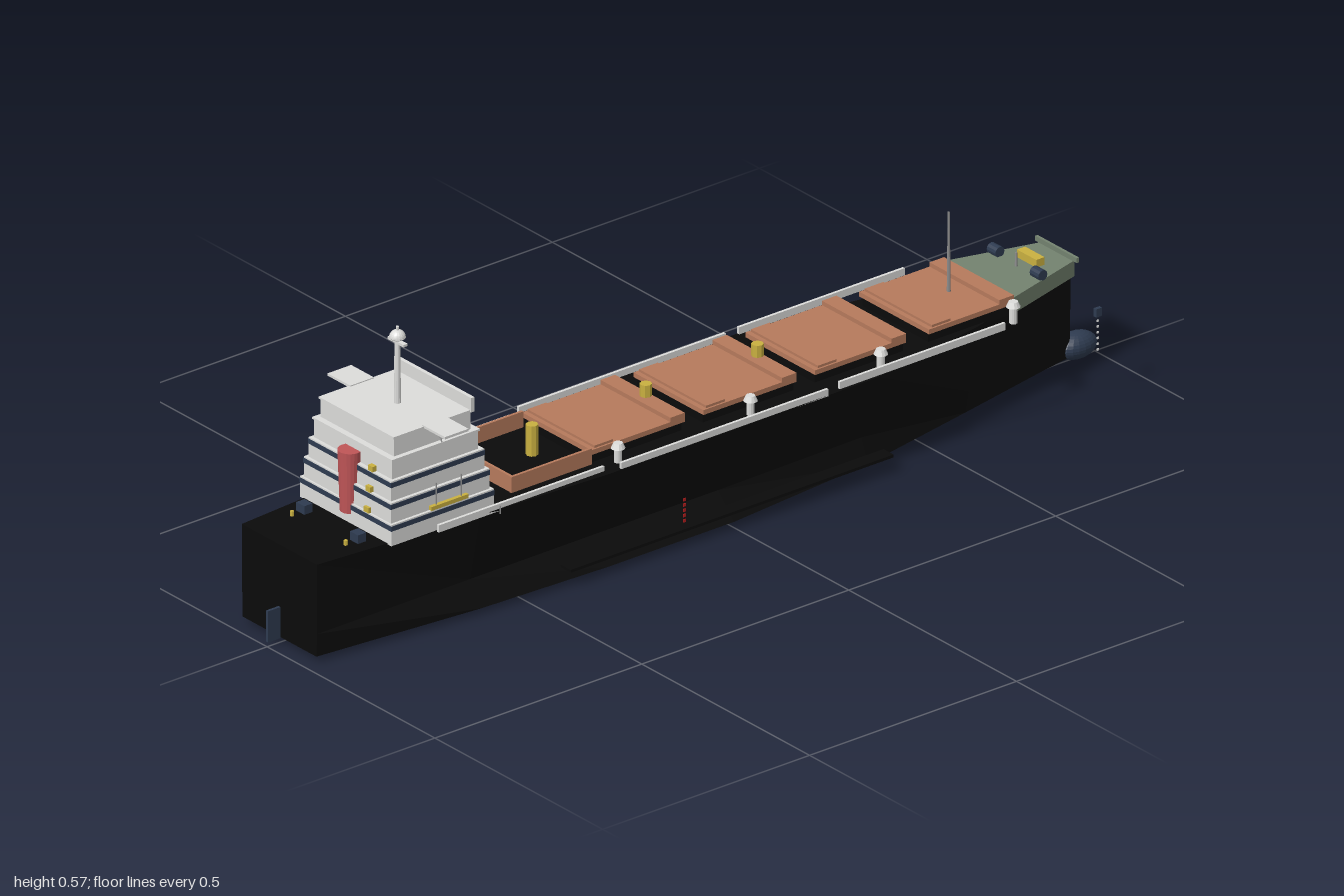
import * as THREE from 'three';

const mat = (name, color) => {
  const m = new THREE.MeshStandardMaterial({ color, flatShading: true });
  m.name = name;
  return m;
};

// Lofted hull: each station is [z, half deck, half waist, half bottom]
function hullGeometry() {
  const stations = [
    [0.97, 0.112, 0.112, 0.110], [0.60, 0.141, 0.111, 0.145], [0.30, 0.157, 0.110, 0.158],
    [0.0, 0.158, 0.110, 0.158], [-0.35, 0.155, 0.105, 0.125], [-0.63, 0.106, 0.080, 0.070],
    [-0.85, 0.045, 0.035, 0.025], [-0.93, 0.015, 0.012, 0.010],
  ];
  const pos = [], idx = [], n = 6;
  for (const [z, d, w, b] of stations) {
    pos.push(d, 0.205, z, w, 0.06, z, b, 0.012, z, -b, 0.012, z, -w, 0.112, z, -d, 0.205, z);
  }
  for (let i = 0; i < stations.length - 1; i++) {
    for (let j = 0; j < n; j++) {
      const a = i * n + j, b = i * n + (j + 1) % n;
      idx.push(a, b, b + n, a, b + n, a + n);
    }
  }
  const last = (stations.length - 1) * n;
  for (let j = 1; j < n - 1; j++) {
    idx.push(0, j + 1, j);
    idx.push(last, last + j, last + j + 1);
  }
  const g = new THREE.BufferGeometry();
  g.setAttribute('position', new THREE.Float32BufferAttribute(pos, 3));
  g.setIndex(idx);
  const flat = g.toNonIndexed();
  flat.computeVertexNormals();
  return flat;
}

export function createModel() {
  const black = mat('hullBlack', 0x0b0b0b);
  const brown = mat('hatchBrown', 0xb67a5c);
  const white = mat('paintWhite', 0xdcdcda);
  const navy = mat('navyBlue', 0x2e3b50);
  const red = mat('funnelRed', 0xbf5557);
  const yellow = mat('gearYellow', 0xc9b040);
  const green = mat('deckGreen', 0x73826f);
  const markRed = mat('markRed', 0xb01c1c);
  const grey = mat('mastGrey', 0x8c8c8c);

  const ship = new THREE.Group();
  ship.name = 'cargoShip';
  const add = (name, geo, m, x = 0, y = 0, z = 0, parent = ship) => {
    const mesh = new THREE.Mesh(geo, m);
    mesh.name = name;
    mesh.position.set(x, y, z);
    parent.add(mesh);
    return mesh;
  };
  // Box given by centre x, half width, and y and z ranges
  const box = (name, m, x, hw, y0, y1, z0, z1) =>
    add(name, new THREE.BoxGeometry(hw * 2, y1 - y0, Math.abs(z1 - z0)), m, x, (y0 + y1) / 2, (z0 + z1) / 2);
  const post = (name, m, x, z, y0, y1, rTop, rBottom = rTop, sides = 12) =>
    add(name, new THREE.CylinderGeometry(rTop, rBottom, y1 - y0, sides), m, x, (y0 + y1) / 2, z);

  // Hull, bulbous bow and rudder
  add('hull', hullGeometry(), black);
  add('bulbousBow', new THREE.SphereGeometry(1, 20, 14), navy, 0, 0.027, -0.955).scale.set(0.029, 0.027, 0.045);
  box('rudder', navy, 0, 0.003, 0.01, 0.075, 0.96, 1.0);

  // Parts along both sides
  for (const s of [-1, 1]) {
    box('bilgeKeel', black, s * 0.15, 0.015, 0.032, 0.038, -0.38, 0.4);
    box('bulwark', white, s * 0.139, 0.003, 0.2, 0.215, 0.3, 0.7);
    box('bulwark', white, s * 0.153, 0.003, 0.203, 0.218, -0.23, 0.27);
    box('bulwark', white, s * 0.15, 0.003, 0.207, 0.222, -0.66, -0.26);
    box('anchor', navy, s * 0.157, 0.004, 0.17, 0.187, -0.887, -0.873);
    for (let i = 0; i < 6; i++) {
      const y = 0.098 + i * 0.012;
      box('bowDraftMark', white, s * 0.157, 0.001, y, y + 0.004, -0.882, -0.878);
    }
    for (let i = 0; i < 5; i++) {
      const y = 0.048 + i * 0.011;
      box('midDraftMark', markRed, s * 0.157, 0.001, y, y + 0.006, 0.116, 0.122);
    }
  }

  // Cargo hatches: dark coaming, brown lid and two raised folded panels
  for (const [z0, z1] of [[-0.72, -0.515], [-0.46, -0.24], [-0.195, 0.03], [0.075, 0.3]]) {
    box('hatchCoaming', black, 0, 0.098, 0.2, 0.224, z0 + 0.003, z1 - 0.003);
    box('hatchLid', brown, 0, 0.104, 0.224, 0.234, z0, z1);
    box('foldedPanel', brown, 0, 0.104, 0.234, 0.243, z0, z0 + 0.035);
    box('foldedPanel', brown, 0, 0.1, 0.234, 0.239, z1 - 0.055, z1 - 0.01);
  }
  // Open hold framed by its coaming
  for (const s of [-1, 1]) box('holdSide', brown, s * 0.102, 0.003, 0.204, 0.238, 0.3, 0.495);
  box('holdEnd', brown, 0, 0.105, 0.204, 0.238, 0.488, 0.494);

  // Deck gear posts
  for (const z of [0.36, 0.085, -0.185]) post('gearPost', yellow, 0, z, 0.205, 0.268, 0.012, 0.012, 8);
  // Mushroom vents
  for (const z of [-0.7, -0.38, -0.065, 0.255]) {
    post('ventStem', white, 0.127, z, 0.2, 0.236, 0.008);
    post('ventCap', white, 0.127, z, 0.234, 0.245, 0.009, 0.014);
  }

  // Forecastle deck, tapering to the bow
  const plan = new THREE.Shape([[-0.102, 0.72], [0.102, 0.72], [0.05, 0.91], [-0.05, 0.91]]
    .map(([x, y]) => new THREE.Vector2(x, y)));
  const deck = new THREE.ExtrudeGeometry(plan, { depth: 0.033, bevelEnabled: false });
  deck.rotateX(-Math.PI / 2);
  add('forecastle', deck, green, 0, 0.203, 0);
  box('bowBreakwater', green, 0, 0.062, 0.236, 0.246, -0.912, -0.906);
  box('windlass', yellow, 0, 0.029, 0.236, 0.252, -0.855, -0.835);
  for (const s of [-1, 1]) {
    add('mooringDrum', new THREE.CylinderGeometry(0.011, 0.011, 0.026, 12), navy, s * 0.064, 0.245, -0.812)
      .rotation.z = Math.PI / 2;
  }
  post('foremast', grey, 0, -0.647, 0.22, 0.4, 0.002, 0.004, 8);
  post('bowLight', grey, 0.0, -0.81, 0.236, 0.265, 0.002, 0.003, 8);

  // Superstructure: stacked tiers with a window band at each lower tier's top
  const tiers = [
    [0.136, 0.203, 0.247, 0.81, 0.562], [0.13, 0.247, 0.289, 0.806, 0.568],
    [0.123, 0.289, 0.33, 0.8, 0.575], [0.116, 0.33, 0.372, 0.792, 0.585],
    [0.109, 0.372, 0.414, 0.782, 0.597],
  ];
  tiers.forEach(([hw, y0, y1, zAft, zFore], i) => {
    box('houseTier', white, 0, hw, y0, y1, zFore, zAft);
    if (i < 3) {
      box('windowBand', navy, 0, hw + 0.001, y1 - 0.013, y1 - 0.003, zFore - 0.001, zAft + 0.001);
      box('aftLocker', yellow, 0.063, 0.007, y1, y1 + 0.011, zAft - 0.014, zAft + 0.002);
    } else {
      box('roofEdge', white, 0, hw + 0.003, y1 - 0.004, y1, zFore - 0.003, zAft + 0.003);
    }
  });
  box('bridgeScreen', white, 0, 0.115, 0.41, 0.44, 0.592, 0.6);

  // Bridge wings with struts, and lifeboats on davits
  for (const s of [-1, 1]) {
    box('bridgeWing', white, s * 0.141, 0.034, 0.411, 0.416, 0.655, 0.712);
    add('wingStrut', new THREE.CylinderGeometry(0.0015, 0.0015, 0.037, 6), grey, s * 0.123, 0.397, 0.684)
      .rotation.z = s * 0.45;
    box('lifeboat', yellow, s * 0.159, 0.004, 0.264, 0.272, 0.645, 0.735);
    for (const z of [0.66, 0.72]) post('davit', grey, s * 0.159, z, 0.27, 0.317, 0.0015, 0.0015, 6);
    post('railPost', grey, s * 0.152, 0.56, 0.2, 0.217, 0.0015, 0.0015, 6);
  }

  // Radar mast
  post('radarMast', white, 0, 0.685, 0.414, 0.55, 0.005, 0.007);
  box('radarBar', white, 0, 0.024, 0.539, 0.544, 0.68, 0.69);
  add('radarDome', new THREE.SphereGeometry(0.016, 16, 8, 0, Math.PI * 2, 0, Math.PI / 2), white, 0, 0.55, 0.685);
  post('domeBase', white, 0, 0.685, 0.548, 0.551, 0.016, 0.014, 16);
  post('mastTip', white, 0, 0.685, 0.56, 0.573, 0.003);

  // Funnel
  post('funnel', red, 0, 0.8, 0.225, 0.352, 0.0235, 0.019, 20);

  // Stern deck winches
  for (const s of [-1, 1]) {
    box('sternWinch', navy, s * 0.08, 0.012, 0.204, 0.223, 0.835, 0.855);
    post('sternBollard', yellow, s * 0.08, 0.875, 0.204, 0.215, 0.004, 0.004, 8);
  }
  return ship;
}
